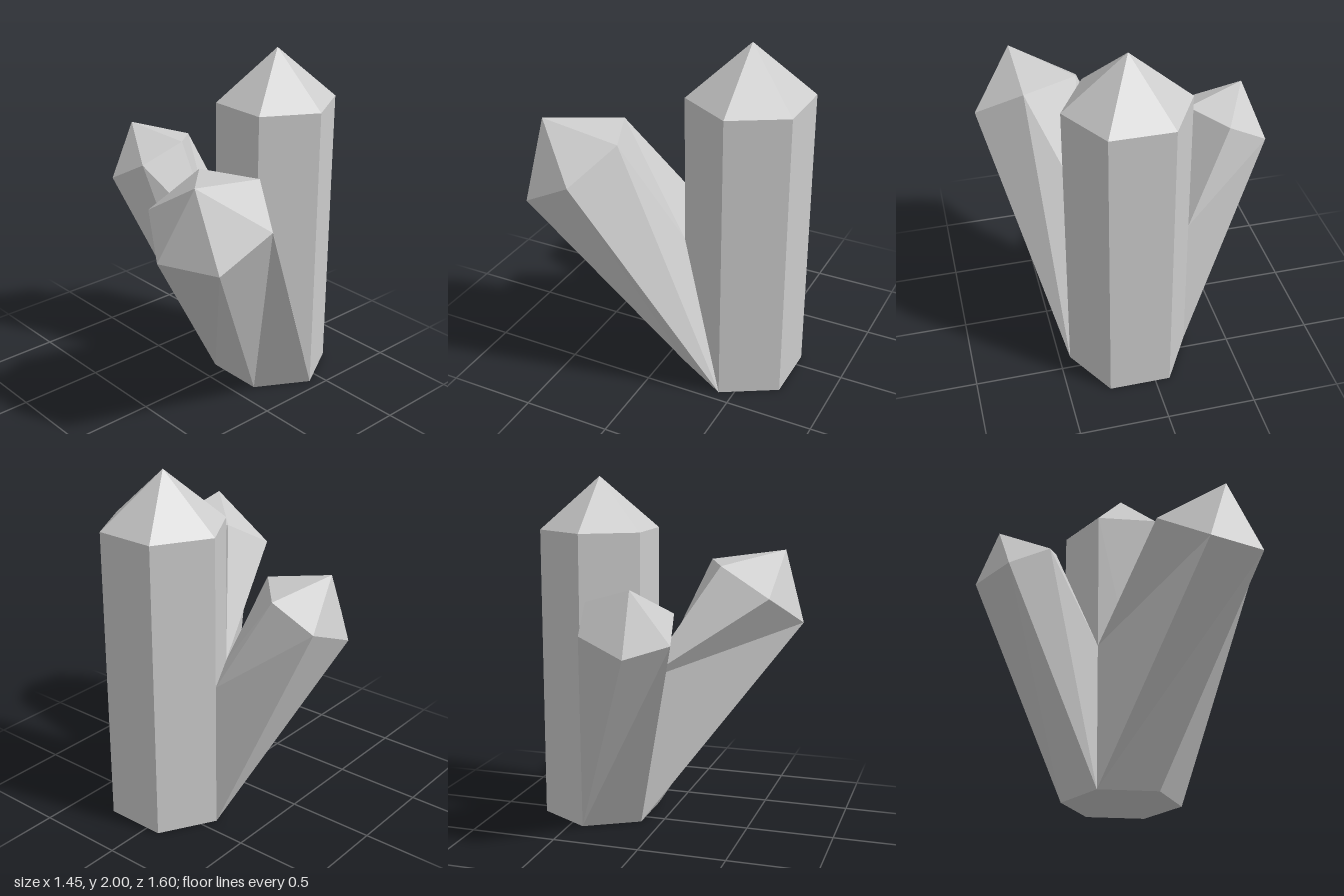
import * as THREE from 'three';

const material = new THREE.MeshStandardMaterial({ color: 0xcccccc, flatShading: true });

const RADIUS = 0.348, CENTER_X = 0.42, CENTER_Z = 0.09, BRANCH_Y = 0.85;

// Corner of the main hexagonal shaft, counted from the front towards the left
function corner(i, y) {
  const t = i * Math.PI / 3;
  return [CENTER_X + RADIUS * Math.sin(t), y, CENTER_Z + RADIUS * Math.cos(t)];
}

// Faceted side crystal: a root loop joined to a tip loop, closed by a point.
// Both loops run clockwise as seen from above.
function branch(name, root, ring, apex) {
  const pos = [];
  const tri = (a, b, c) => pos.push(...a, ...b, ...c);
  const n = ring.length;
  for (let i = 0; i < n; i++) {
    const j = (i + 1) % n;
    tri(ring[j], ring[i], apex);
    tri(ring[i], ring[j], root[j]);
    if (root[i] !== root[j]) tri(ring[i], root[j], root[i]);
  }
  const geometry = new THREE.BufferGeometry();
  geometry.setAttribute('position', new THREE.Float32BufferAttribute(pos, 3));
  geometry.computeVertexNormals();
  const mesh = new THREE.Mesh(geometry, material);
  mesh.name = name;
  return mesh;
}

export function createModel() {
  const group = new THREE.Group();
  group.name = 'crystalCluster';

  // Upright six-sided crystal with a pointed tip
  const profile = [[0, 0], [RADIUS, 0], [RADIUS, 1.7], [0, 2]].map(p => new THREE.Vector2(...p));
  const main = new THREE.Mesh(new THREE.LatheGeometry(profile, 6), material);
  main.name = 'mainCrystal';
  main.position.set(CENTER_X, 0, CENTER_Z);
  group.add(main);

  // Shaft corners the branches grow from: low on the ground, high at mid height
  const frontLow = corner(0, 0), backLow = corner(3, 0);
  const rightBackLow = corner(4, 0), rightFrontLow = corner(5, 0);
  const backHigh = corner(3, BRANCH_Y), rightBackHigh = corner(4, BRANCH_Y);
  const rightFrontHigh = corner(5, BRANCH_Y);

  // Large crystal leaning to the right and forward
  group.add(branch('frontCrystal',
    [rightBackHigh, rightBackHigh, rightFrontHigh, frontLow, rightFrontLow, rightBackLow],
    [[-0.57, 1.32, 0.16], [-0.27, 1.49, 0.22], [-0.135, 1.49, 0.54],
      [-0.29, 1.32, 0.8], [-0.59, 1.15, 0.74], [-0.725, 1.15, 0.42]],
    [-0.585, 1.56, 0.55]));

  // Smaller crystal leaning backward
  group.add(branch('backCrystal',
    [rightBackHigh, rightBackHigh, rightBackLow, backLow, backLow, backHigh],
    [[0.08, 1.41, -0.34], [-0.175, 1.31, -0.39], [-0.225, 1.18, -0.62],
      [-0.025, 1.13, -0.8], [0.23, 1.23, -0.75], [0.28, 1.37, -0.52]],
    [-0.025, 1.47, -0.68]));

  return group;
}
